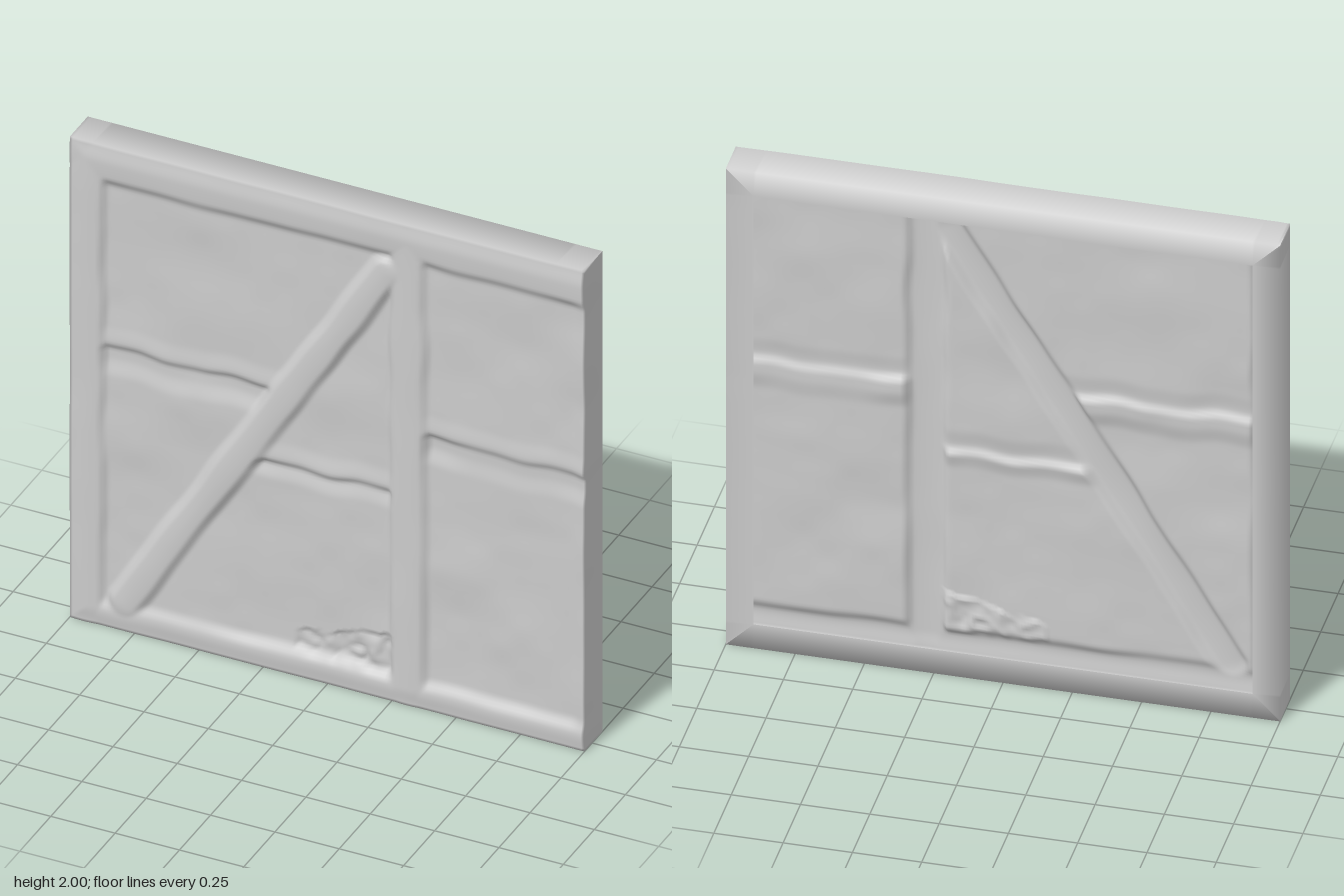
import * as THREE from 'three';

const N = 180;         // cells across the front sheet
const BACK = -0.083;   // depth of the rear rim
const RIM = 0.1;       // width of the rear rim
const PLASTER = 0.046; // depth of the plaster infill

const { smoothstep, lerp, clamp } = THREE.MathUtils;

// Seeded smooth value noise, roughly -1..1
function hash(i, j) {
  const s = Math.sin(i * 127.1 + j * 311.7 + 4.2) * 43758.5453;
  return (s - Math.floor(s)) * 2 - 1;
}
function noise(x, y) {
  const i = Math.floor(x), j = Math.floor(y);
  const u = smoothstep(x - i, 0, 1), v = smoothstep(y - j, 0, 1);
  return lerp(lerp(hash(i, j), hash(i + 1, j), u), lerp(hash(i, j + 1), hash(i + 1, j + 1), u), v);
}

// Raised timbers: from, to, half width, top height, edge softness
const timbers = [
  { a: [-0.95, -0.2], b: [-0.95, 2.2], half: 0.08, top: 0.071, soft: 0.025 },   // left post
  { a: [-1.2, 1.95], b: [1.2, 1.95], half: 0.105, top: 0.071, soft: 0.045 },    // top beam
  { a: [-1.2, 0.03], b: [1.2, 0.03], half: 0.075, top: 0.068, soft: 0.05 },     // bottom beam
  { a: [0.31, 0.0], b: [0.31, 2.0], half: 0.07, top: 0.07, soft: 0.03 },        // middle post
  { a: [-0.79, 0.12], b: [0.225, 1.78], half: 0.062, top: 0.073, soft: 0.035 }, // diagonal brace
];

// Rails sunk behind the plaster: ends in x, soft bottom edge, crisp top edge, depth
const rails = [
  { x0: -0.88, x1: -0.15, y0: 1.03, y1: 1.17, depth: 0.014 }, // left rail
  { x0: -0.32, x1: 0.26, y0: 0.78, y1: 0.87, depth: 0.016 },  // inner rail
  { x0: 0.36, x1: 1.1, y0: 1.0, y1: 1.14, depth: 0.014 },     // right rail
];

// Distance from a point to a timber's centre line
function distance(x, y, { a, b }) {
  const dx = b[0] - a[0], dy = b[1] - a[1];
  const t = clamp(((x - a[0]) * dx + (y - a[1]) * dy) / (dx * dx + dy * dy), 0, 1);
  return Math.hypot(x - a[0] - dx * t, y - a[1] - dy * t);
}

// Relief of the front sheet
function relief(x, y) {
  let h = PLASTER + 0.005 * noise(x * 4, y * 5) + 0.001 * noise(x * 12 + 7, y * 12);
  h += 0.01 * smoothstep(x, 0.94, 1); // plaster lifts at the right edge
  for (const { x0, x1, y0, y1, depth } of rails) {
    if (x < x0 || x > x1) continue;
    const wy = y + 0.016 * noise(x * 8, 2.5);
    const sink = smoothstep(wy, y0, y0 + 0.08) * (1 - smoothstep(wy, y1 - 0.03, y1));
    const lip = smoothstep(wy, y1 - 0.02, y1 + 0.01) * (1 - smoothstep(wy, y1 + 0.01, y1 + 0.08));
    h += 0.006 * lip - depth * sink * (0.8 + 0.3 * noise(x * 7, 9));
  }
  // Broken plaster with rubble beside the foot of the middle post
  const edge = 0.17 + 0.09 * smoothstep(x, -0.12, 0.15) + 0.02 * noise(x * 20, 5);
  if (x > -0.13 && x < 0.25 && y < edge) {
    h = 0.032 + 0.014 * Math.abs(noise(x * 17, y * 20)) + 0.003 * noise(x * 36, y * 36);
  }
  for (const t of timbers) {
    const d = distance(x, y, t) + 0.006 * noise(x * 6 + 3, y * 6);
    const rise = 1 - smoothstep(d, t.half - t.soft * 0.6, t.half + t.soft * 0.4);
    const crown = 0.007 * Math.min(1, (d / t.half) ** 2);
    h = Math.max(h, lerp(h, t.top - crown + 0.002 * noise(x * 5, y * 5 + 11), rise));
  }
  // Outer edges are slightly worn
  const rim = Math.min(1 + x, y, 2 - y);
  return h - 0.007 * (1 - smoothstep(rim, 0, 0.07));
}

// One sheet: the relief, folded back along its sides and into a rear rim
function wallGeometry() {
  const size = N + 5; // two extra rows on every side form the fold
  const positions = [], index = [];
  for (let j = 0; j < size; j++) {
    for (let i = 0; i < size; i++) {
      const ci = clamp(i - 2, 0, N), cj = clamp(j - 2, 0, N);
      const fold = Math.max(Math.abs(i - 2 - ci), Math.abs(j - 2 - cj));
      let x = ci / N * 2 - 1, y = cj / N * 2;
      const z = fold ? BACK : relief(x, y);
      if (fold === 2) {
        x = clamp(x, -1 + RIM, 1 - RIM);
        y = clamp(y, RIM, 2 - RIM);
      }
      positions.push(x, y, z);
      if (i < size - 1 && j < size - 1) {
        const a = j * size + i, b = a + 1, c = a + size, d = c + 1;
        index.push(a, b, d, a, d, c);
      }
    }
  }
  const geometry = new THREE.BufferGeometry();
  geometry.setAttribute('position', new THREE.Float32BufferAttribute(positions, 3));
  geometry.setIndex(index);
  geometry.computeVertexNormals();
  return geometry;
}

export function createModel() {
  const group = new THREE.Group();
  group.name = 'timberFramedWall';
  const material = new THREE.MeshStandardMaterial({ color: 0xcccccc, side: THREE.DoubleSide });
  const wall = new THREE.Mesh(wallGeometry(), material);
  wall.name = 'wallPanel';
  group.add(wall);
  return group;
}
